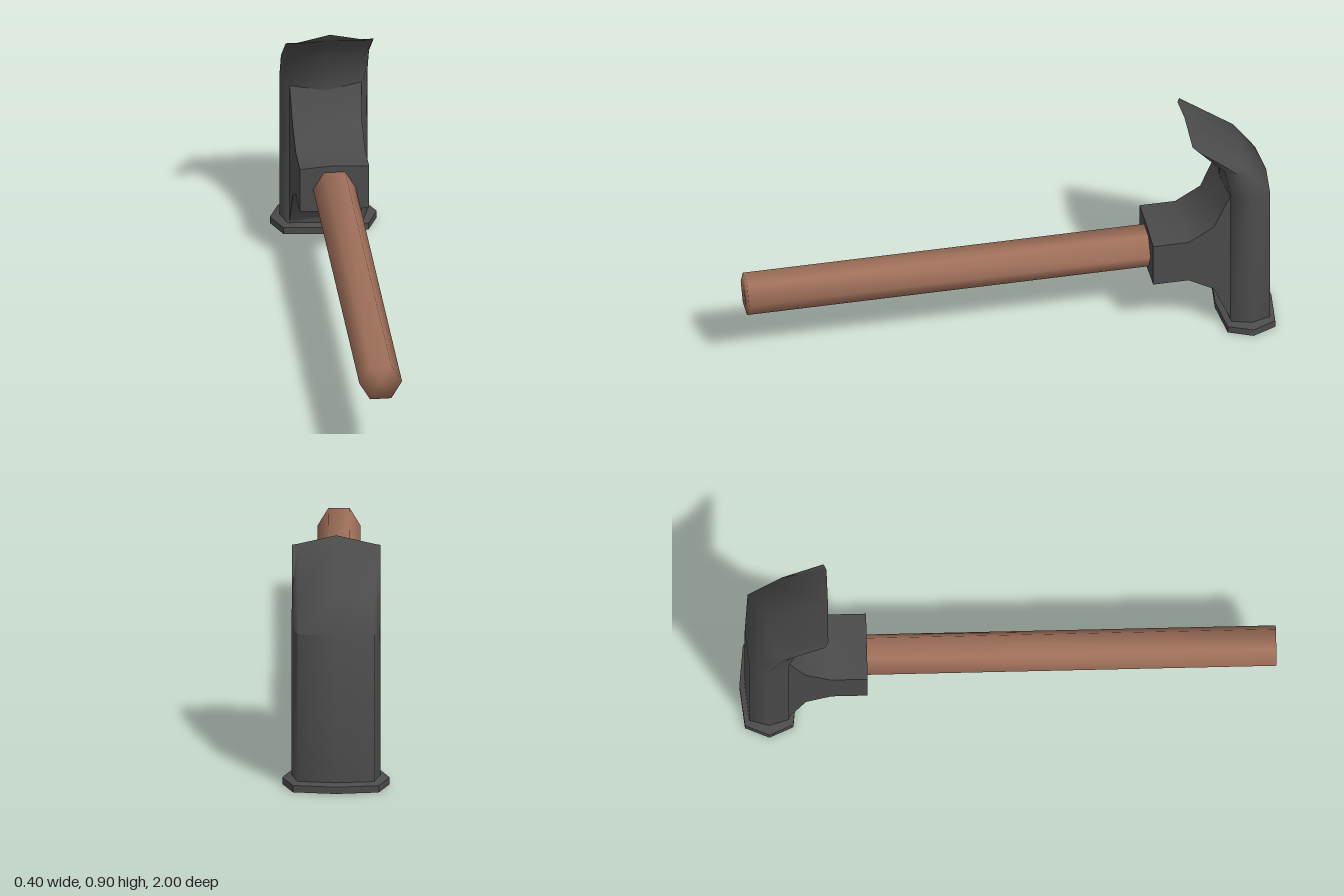
import * as THREE from 'three';
import { toCreasedNormals } from 'three/addons/utils/BufferGeometryUtils.js';

// Skins rings of points (counter-clockwise seen from the last ring) and caps both ends
function loft(rings) {
  const n = rings[0].length, pos = [], index = [];
  rings.forEach(r => r.forEach(p => pos.push(...p)));
  for (let k = 0; k < rings.length - 1; k++) {
    for (let i = 0; i < n; i++) {
      const j = (i + 1) % n, a = k * n + i, b = k * n + j;
      index.push(a, b, b + n, a, b + n, a + n);
    }
  }
  const cap = (k, flip) => {
    const c = pos.length / 3;
    pos.push(...[0, 1, 2].map(d => rings[k].reduce((s, p) => s + p[d], 0) / n));
    for (let i = 0; i < n; i++) {
      const a = k * n + i, b = k * n + (i + 1) % n;
      index.push(c, flip ? b : a, flip ? a : b);
    }
  };
  cap(0, true);
  cap(rings.length - 1, false);
  const g = new THREE.BufferGeometry();
  g.setAttribute('position', new THREE.Float32BufferAttribute(pos, 3));
  g.setIndex(index);
  g.computeVertexNormals();
  return g;
}

// Eight-sided head section between a back and a front point, each [z, y]
function headRing(back, front, width, corner, sideY) {
  const mix = t => [back[0] + (front[0] - back[0]) * t, back[1] + (front[1] - back[1]) * t];
  const at = (x, t, y) => { const [z, my] = mix(t); return [x, y ?? my, z]; };
  return [
    at(0, 0), at(-corner, 0.08, sideY), at(-width, 0.5, sideY), at(-corner, 0.92),
    at(0, 1), at(corner, 0.92), at(width, 0.5, sideY), at(corner, 0.08, sideY),
  ];
}

// Six-sided neck section with slightly peaked top and bottom
function neckRing(z, low, high, w) {
  return [
    [w, low + 0.008, z], [w, high - 0.008, z], [0, high, z],
    [-w, high - 0.008, z], [-w, low + 0.008, z], [0, low, z],
  ];
}

export function createModel() {
  const model = new THREE.Group();
  const steel = new THREE.MeshStandardMaterial({ name: 'dark steel', color: 0x4b4b4b });
  const wood = new THREE.MeshStandardMaterial({ name: 'brown wood', color: 0xa0705a });
  const add = (name, geometry, material) => {
    const mesh = new THREE.Mesh(geometry, material);
    mesh.name = name;
    model.add(mesh);
  };

  // Head: straight body that bends forward into a thin claw
  add('headAndClaw', toCreasedNormals(loft([
    headRing([-0.98, 0.02], [-0.805, 0.02], 0.165, 0.143),
    headRing([-0.98, 0.62], [-0.805, 0.62], 0.165, 0.143),
    headRing([-0.89, 0.737], [-0.785, 0.74], 0.165, 0.143),
    headRing([-0.67, 0.905], [-0.695, 0.855], 0.165, 0.143, 0.872),
  ]), 1.25), steel);

  // Striking face: wider plate at the foot of the head
  add('strikingFace', toCreasedNormals(loft([
    headRing([-1, 0], [-0.785, 0], 0.2, 0.16),
    headRing([-1, 0.027], [-0.785, 0.027], 0.2, 0.16),
    headRing([-0.98, 0.037], [-0.805, 0.037], 0.165, 0.143),
  ]), 1), steel);

  // Neck: socket that flares into the front of the head
  add('neck', toCreasedNormals(loft([
    neckRing(-0.82, 0.03, 0.63, 0.135),
    neckRing(-0.755, 0.18, 0.485, 0.13),
    neckRing(-0.66, 0.235, 0.428, 0.13),
    neckRing(-0.525, 0.235, 0.428, 0.13),
  ]), 1.25), steel);

  // Handle: hexagonal bar with softly shaded ends
  const handleRing = z => Array.from({ length: 6 }, (_, i) => {
    const a = i * Math.PI / 3;
    return [0.08 * Math.cos(a), 0.331 + 0.08 * Math.sin(a), z];
  });
  add('handle', loft([handleRing(-0.6), handleRing(1)]), wood);

  return model;
}
